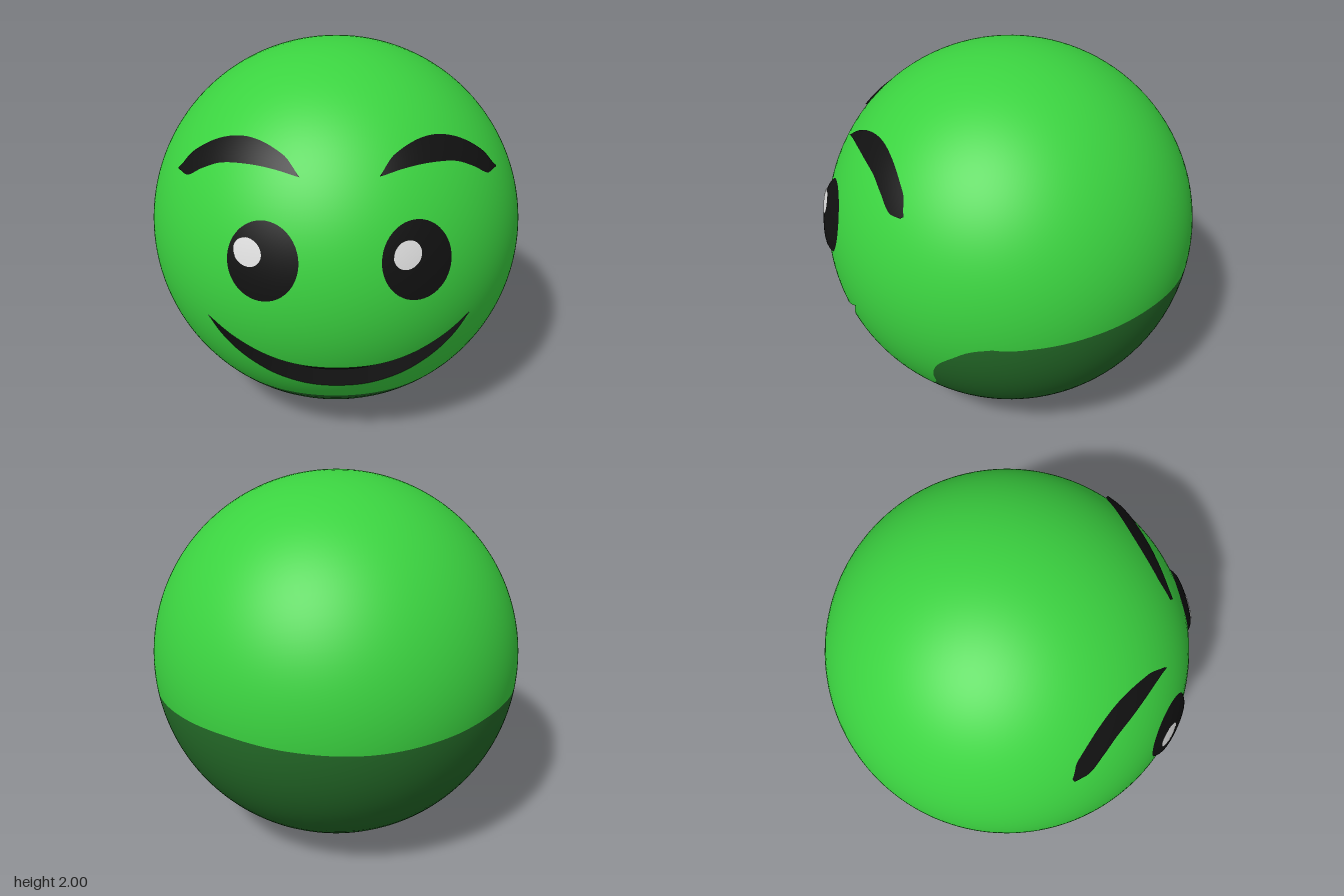
import * as THREE from 'three';

const mat = (name, color, side = THREE.FrontSide) => {
  const m = new THREE.MeshStandardMaterial({ color, side });
  m.name = name;
  return m;
};

// Smooth curve y(|x|) through a few points, constant beyond its ends
function curve(pts) {
  const slope = (i) => {
    if (i === 0 && pts[0][0] === 0) return 0;
    const a = pts[Math.max(i - 1, 0)], b = pts[Math.min(i + 1, pts.length - 1)];
    return (b[1] - a[1]) / (b[0] - a[0]);
  };
  return (sx) => {
    const x = Math.abs(sx), last = pts.length - 1;
    if (x <= pts[0][0]) return pts[0][1];
    if (x >= pts[last][0]) return pts[last][1];
    let i = 0;
    while (x > pts[i + 1][0]) i++;
    const [x0, y0] = pts[i], [x1, y1] = pts[i + 1], w = x1 - x0, t = (x - x0) / w;
    const t2 = t * t, t3 = t2 * t;
    return y0 * (2 * t3 - 3 * t2 + 1) + y1 * (3 * t2 - 2 * t3)
      + w * (slope(i) * (t3 - 2 * t2 + t) + slope(i + 1) * (t3 - t2));
  };
}

// Angle around the x axis at which the ball's slice at x reaches height y
const angle = (x, y) => {
  const r = Math.sqrt(Math.max(1 - x * x, 1e-9));
  return Math.asin(THREE.MathUtils.clamp((y - 1) / r, -1, 1));
};

// Grid surface from point(u, v); normals radial to the ball unless told otherwise
function grid(nu, nv, point, radial = true) {
  const pos = [], nor = [], idx = [];
  for (let i = 0; i <= nu; i++) {
    for (let j = 0; j <= nv; j++) {
      const p = point(i / nu, j / nv);
      pos.push(p.x, p.y, p.z);
      const n = new THREE.Vector3(p.x, p.y - 1, p.z).normalize();
      nor.push(n.x, n.y, n.z);
      if (i < nu && j < nv) {
        const a = i * (nv + 1) + j, b = a + nv + 1;
        idx.push(a, b, b + 1, a, b + 1, a + 1);
      }
    }
  }
  const g = new THREE.BufferGeometry();
  g.setAttribute('position', new THREE.Float32BufferAttribute(pos, 3));
  g.setAttribute('normal', new THREE.Float32BufferAttribute(nor, 3));
  g.setIndex(idx);
  if (!radial) g.computeVertexNormals();
  return g;
}

const ballPoint = (x, a, R = 1, dz = 0) => {
  const r = Math.sqrt(Math.max(1 - x * x, 0));
  return new THREE.Vector3(x * R, 1 + r * Math.sin(a) * R, r * Math.cos(a) * R + dz);
};

// Piece of the ball between two angle limits, over a range of x
function strip(x0, x1, from, to, nu, nv, { bulge = 0, dz = 0 } = {}) {
  const p0 = Math.asin(x0), p1 = Math.asin(x1);
  return grid(nu, nv, (u, v) => {
    const x = Math.sin(p0 + (p1 - p0) * u);
    const a = from(x) + (to(x) - from(x)) * v;
    return ballPoint(x, a, 1 + bulge * (1 - (2 * v - 1) ** 4), dz);
  });
}

// Raised oval on the front of the ball
function oval(cx, cy, rx, ry, lean, base, height) {
  return grid(48, 10, (u, v) => {
    const a = -u * Math.PI * 2, t = v;
    const dy = ry * t * Math.sin(a);
    const x = cx + rx * t * Math.cos(a) + lean * dy, y = cy + dy - 1;
    const k = 1 + base + height * (1 - t ** 6);
    return new THREE.Vector3(x * k, 1 + y * k, Math.sqrt(1 - x * x - y * y) * k);
  });
}

export function createModel() {
  const model = new THREE.Group();
  model.name = 'smilingBall';
  const green = mat('brightGreen', 0x3bd340);
  const dark = mat('darkGreen', 0x246b28);
  const black = mat('black', 0x111111, THREE.DoubleSide);
  const white = mat('white', 0xe0e0e0, THREE.DoubleSide);
  const add = (name, geometry, material) => {
    const m = new THREE.Mesh(geometry, material);
    m.name = name;
    model.add(m);
  };

  // Edge of the dark underside, front and back
  const frontY = curve([[0, 0.33], [0.58, 0.33], [0.65, 0.345], [0.71, 0.39], [0.8, 0.49],
    [0.86, 0.6], [0.91, 0.7], [0.96, 0.8], [0.987, 0.87], [0.994, 0.89]]);
  const backY = curve([[0, 0.9], [0.4, 0.915], [0.66, 0.93], [0.86, 0.92], [0.975, 0.9], [0.994, 0.89]]);
  const front = (x) => angle(x, frontY(x));
  const back = (x) => Math.PI - angle(x, backY(x));

  // Lips
  const upperY = curve([[0, 0.63], [0.2, 0.64], [0.35, 0.675], [0.5, 0.74], [0.6, 0.8], [0.64, 0.83]]);
  const lowerY = curve([[0, 0.47], [0.15, 0.48], [0.3, 0.525], [0.4, 0.58], [0.5, 0.655], [0.58, 0.74], [0.64, 0.83]]);
  const upper = (x) => Math.max(angle(x, upperY(x)), front(x));
  const lower = (x) => Math.max(angle(x, lowerY(x)), front(x));

  // Ball
  add('head', strip(-1, 1, upper, back, 180, 64), green);
  add('chin', strip(-1, 1, front, lower, 180, 12), green);
  add('underside', strip(-1, 1, (x) => back(x) - Math.PI * 2, front, 180, 32), dark);

  // Sunken mouth
  const depth = 0.14;
  add('mouthBack', strip(-0.64, 0.64, lower, upper, 80, 8, { dz: -depth }), black);
  for (const [name, lip] of [['upperLipWall', upper], ['lowerLipWall', lower]]) {
    add(name, grid(80, 1, (u, v) => {
      const x = -0.64 + 1.28 * u;
      return ballPoint(x, lip(x), 1, -depth * v);
    }, false), black);
  }
  const teethLow = curve([[0, 0.5], [0.2, 0.515], [0.3, 0.55], [0.4, 0.6], [0.5, 0.68], [0.55, 0.73]]);
  const teethHigh = (x) => teethLow(x) + 0.016 * (1 - (x / 0.55) ** 4);
  add('teeth', strip(-0.55, 0.55, (x) => angle(x, teethLow(x)), (x) => angle(x, teethHigh(x)),
    64, 2, { dz: -depth + 0.008 }), white);

  // Eyes and brows
  const browTop = curve([[0.18, 1.57], [0.25, 1.645], [0.4, 1.69], [0.55, 1.66], [0.7, 1.565], [0.77, 1.475]]);
  const browLow = curve([[0.18, 1.57], [0.3, 1.59], [0.42, 1.592], [0.55, 1.57], [0.65, 1.52], [0.73, 1.465], [0.77, 1.465]]);
  for (const s of [1, -1]) {
    const side = s > 0 ? 'left' : 'right';
    add(side + 'Eye', oval(s * 0.355, 1.195, 0.166, 0.189, -s * 0.1, 0, 0.025), black);
    add(side + 'EyeShine', oval(s * 0.355 - 0.057, 1.24, 0.064, 0.064, 0, 0.026, 0.003), white);
    add(side + 'Brow', strip(s > 0 ? 0.18 : -0.77, s > 0 ? 0.77 : -0.18,
      (x) => angle(x, browLow(x)), (x) => angle(x, browTop(x)), 40, 10, { bulge: 0.014 }), black);
  }
  return model;
}
